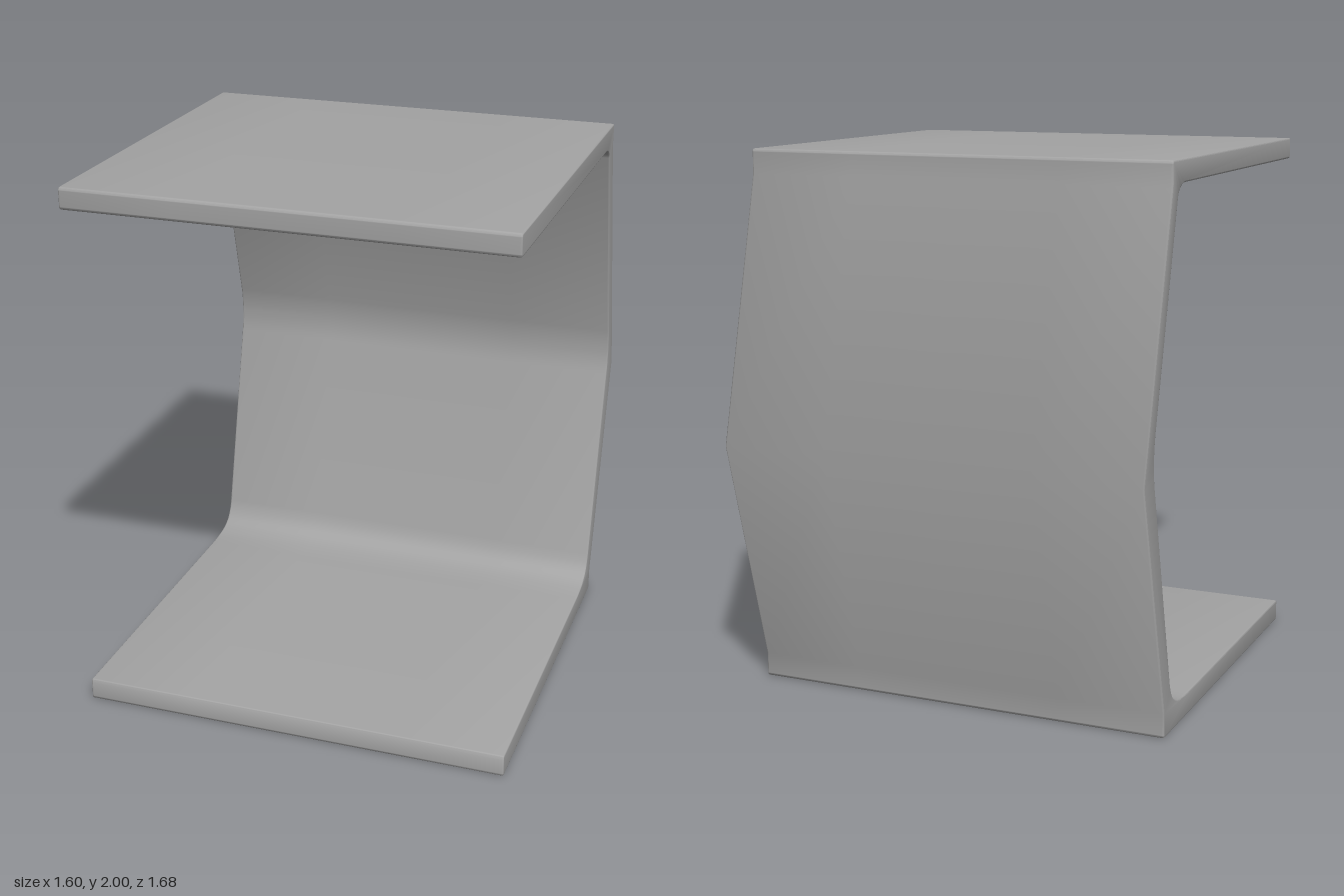
import * as THREE from 'three';
import { toCreasedNormals } from 'three/addons/utils/BufferGeometryUtils.js';

export function createModel() {
  const group = new THREE.Group();
  group.name = 'bentBracket';

  // Side profile: shape x is depth (z), shape y is height
  const s = new THREE.Shape();
  const r = 0.012;
  s.moveTo(0.838 - r, 0);
  s.quadraticCurveTo(0.838, 0, 0.838, r);
  s.lineTo(0.838, 0.083 - r);
  s.quadraticCurveTo(0.838, 0.083, 0.838 - r, 0.083);
  // inner face: lower fillet, soft bend at mid height, upper fillet
  s.lineTo(-0.34, 0.083);
  s.bezierCurveTo(-0.47, 0.09, -0.515, 0.1, -0.54, 0.19);
  s.lineTo(-0.728, 0.925);
  s.quadraticCurveTo(-0.75, 1.01, -0.73, 1.11);
  s.lineTo(-0.54, 1.88);
  s.quadraticCurveTo(-0.52, 1.92, -0.46, 1.92);
  // top plate end
  s.lineTo(0.838 - r, 1.92);
  s.quadraticCurveTo(0.838, 1.92, 0.838, 1.92 + r);
  s.lineTo(0.838, 2 - r);
  s.quadraticCurveTo(0.838, 2, 0.838 - r, 2);
  // outer back face: eased corners, smooth-shaded ridge
  s.lineTo(-0.598 + r, 2);
  s.quadraticCurveTo(-0.598, 2, -0.598, 2 - r);
  s.lineTo(-0.598, 1.91);
  s.lineTo(-0.838, 0.95);
  s.lineTo(-0.598, 0.09);
  s.lineTo(-0.598, r);
  s.quadraticCurveTo(-0.598, 0, -0.598 + r, 0);
  s.closePath();

  // Extrude across the width with eased side edges
  const bevel = 0.006;
  const depth = 1.6 - 2 * bevel;
  let geo = new THREE.ExtrudeGeometry(s, {
    depth, steps: 4, curveSegments: 8, bevelEnabled: true,
    bevelThickness: bevel, bevelSize: bevel, bevelOffset: -bevel, bevelSegments: 3,
  });
  geo.translate(0, 0, -depth / 2);
  geo.rotateY(-Math.PI / 2);
  geo = toCreasedNormals(geo, 0.7);

  const mesh = new THREE.Mesh(geo, new THREE.MeshStandardMaterial({ color: 0xa3a3a3 }));
  mesh.name = 'foldedPlate';
  group.add(mesh);
  return group;
}
